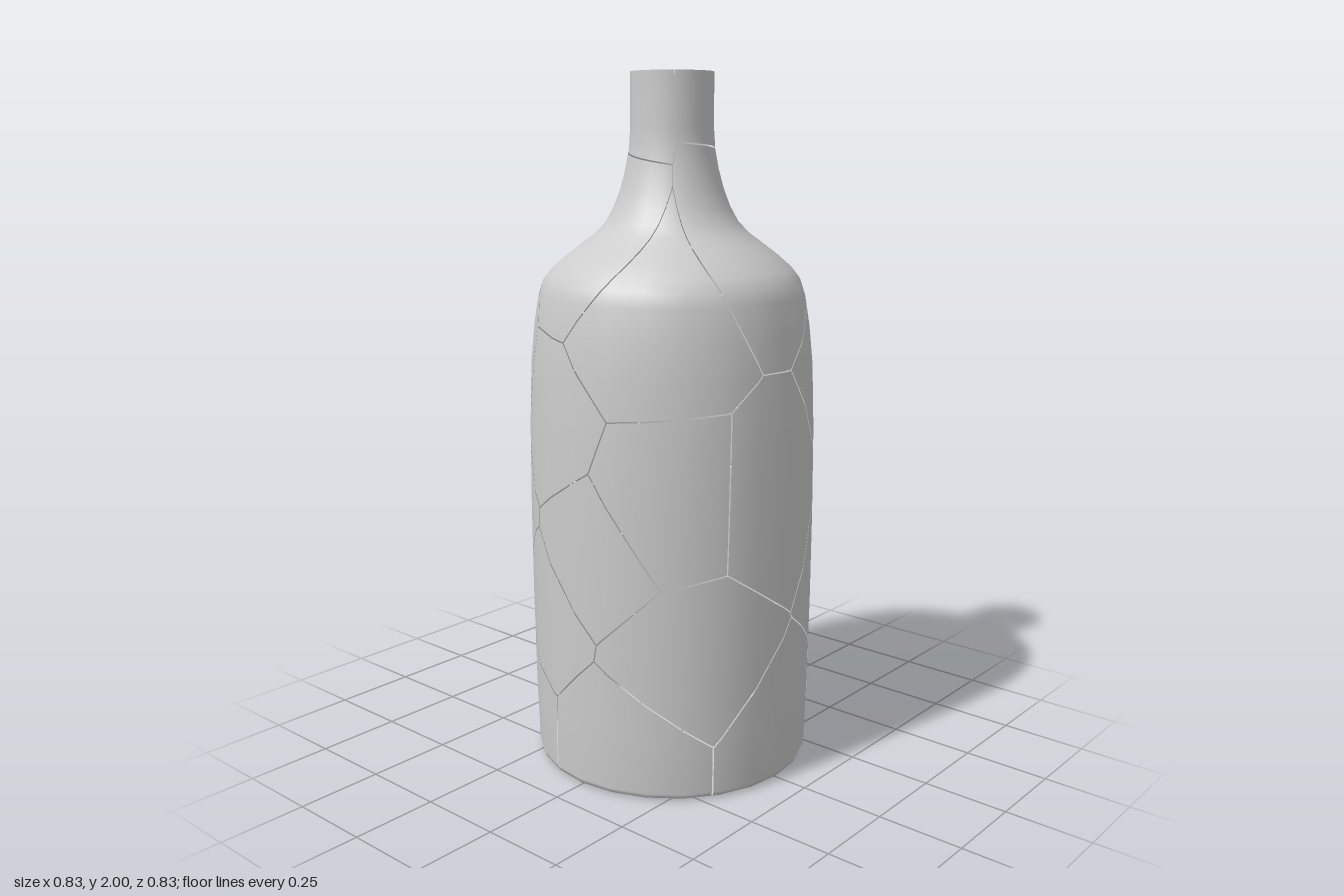
import * as THREE from 'three';

const SIDES = 24, TURN = Math.PI * 2, COL = TURN / SIDES;
const GAP = 0.002;   // half the width of a crack
const R = 0.41;      // body radius, turns angles into widths on the unrolled wall

// Wall profile [radius, height], foot to lip
const PROFILE = [
  [0.385, 0], [0.4, 0.006], [0.406, 0.02], [0.412, 0.2], [0.416, 0.5], [0.417, 0.75], [0.415, 1.0],
  [0.408, 1.19], [0.397, 1.3], [0.383, 1.385], [0.37, 1.425], [0.345, 1.457], [0.305, 1.492], [0.263, 1.524],
  [0.222, 1.554], [0.19, 1.587], [0.166, 1.63], [0.147, 1.68], [0.132, 1.735], [0.122, 1.79], [0.118, 1.85], [0.118, 2],
];

// Shard centres on the wall: [degrees from front towards the left, height]
const WALL = [
  [0, 0.85], [2, 0.13], [0, 1.55], [52, 1.12], [52, 0.62], [58, 0.14],
  [-55, 0.86], [-42, 0.4], [-68, 0.13], [-60, 1.32],
  [88, 1.14], [88, 0.58], [100, 0.12], [98, 1.62], [126, 0.92], [135, 0.4],
  [140, 1.35], [165, 0.95], [168, 0.15], [182, 0.52], [186, 1.58], [205, 1.15],
  [212, 0.78], [220, 0.16], [242, 0.5], [250, 1.02], [262, 1.55], [276, 0.72],
  [2, 2.05], [95, 2], [185, 2.08], [265, 1.98],
];

// Shard centres on the floor: [x, z]
const FLOOR = [[0.1, -0.12], [-0.12, -0.04], [0.05, 0.12], [-0.2, 0.22], [0.27, 0.08], [-0.28, -0.18], [0.02, -0.31], [0.17, 0.3]];

// Keep the part of a convex polygon where a*x + b*y <= c
function clip(poly, a, b, c) {
  const out = [];
  poly.forEach((p, i) => {
    const q = poly[(i + 1) % poly.length];
    const dp = a * p[0] + b * p[1] - c, dq = a * q[0] + b * q[1] - c;
    if (dp <= 0) out.push(p);
    if ((dp < 0 && dq > 0) || (dp > 0 && dq < 0)) {
      const t = dp / (dp - dq);
      out.push([p[0] + (q[0] - p[0]) * t, p[1] + (q[1] - p[1]) * t]);
    }
  });
  return out;
}

// Cut an outline down to the area nearest one centre, less the crack
function cell(outline, seed, others) {
  return others.reduce((poly, o) => {
    const dx = o[0] - seed[0], dy = o[1] - seed[1], d = Math.hypot(dx, dy);
    if (d < 1e-6) return poly;
    const a = dx / d, b = dy / d;
    return clip(poly, a, b, a * (seed[0] + o[0]) / 2 + b * (seed[1] + o[1]) / 2 - GAP);
  }, outline);
}

// Profile slope as an outward normal [radial, up] at each profile point
const NORMALS = PROFILE.map((p, i) => {
  const a = PROFILE[Math.max(i - 1, 0)], b = PROFILE[Math.min(i + 1, PROFILE.length - 1)];
  const d = Math.hypot(b[0] - a[0], b[1] - a[1]);
  return [(b[1] - a[1]) / d, (a[0] - b[0]) / d];
});

// Position and normal on the wall for a point (angle * R, height) in a given column and row
function wallPoint([s, y], col, row, pos, nor) {
  const angle = s / R, a0 = col * COL, f = angle / COL - col;
  const p = PROFILE[row], q = PROFILE[row + 1], t = (y - p[1]) / (q[1] - p[1]);
  const r = THREE.MathUtils.lerp(p[0], q[0], t);
  pos.push(r * THREE.MathUtils.lerp(Math.sin(a0), Math.sin(a0 + COL), f), y,
    r * THREE.MathUtils.lerp(Math.cos(a0), Math.cos(a0 + COL), f));
  const n = new THREE.Vector2(...NORMALS[row]).lerp(new THREE.Vector2(...NORMALS[row + 1]), t).normalize();
  nor.push(n.x * Math.sin(angle), n.y, n.x * Math.cos(angle));
}

function makeMesh(name, pos, nor, material) {
  const geometry = new THREE.BufferGeometry();
  geometry.setAttribute('position', new THREE.Float32BufferAttribute(pos, 3));
  geometry.setAttribute('normal', new THREE.Float32BufferAttribute(nor, 3));
  const mesh = new THREE.Mesh(geometry, material);
  mesh.name = name;
  return mesh;
}

// Curve one flat shard around the wall, following the columns and rows of the profile
function wallShard(poly, name, material) {
  const pos = [], nor = [], w = COL * R;
  const xs = poly.map(p => p[0]);
  for (let col = Math.floor(Math.min(...xs) / w); col * w < Math.max(...xs); col++) {
    const strip = clip(clip(poly, 1, 0, (col + 1) * w), -1, 0, -col * w);
    for (let row = 0; row < PROFILE.length - 1; row++) {
      const piece = clip(clip(strip, 0, 1, PROFILE[row + 1][1]), 0, -1, -PROFILE[row][1]);
      for (let i = 1; i < piece.length - 1; i++) {
        for (const p of [piece[0], piece[i], piece[i + 1]]) wallPoint(p, col, row, pos, nor);
      }
    }
  }
  return makeMesh(name, pos, nor, material);
}

// Flat shard facing down
function floorShard(poly, name, material) {
  const pos = [], nor = [];
  for (let i = 1; i < poly.length - 1; i++) {
    for (const [x, z] of [poly[0], poly[i], poly[i + 1]]) {
      pos.push(x, 0, z);
      nor.push(0, -1, 0);
    }
  }
  return makeMesh(name, pos, nor, material);
}

export function createModel() {
  const material = new THREE.MeshStandardMaterial({ color: 0xcccccc, side: THREE.DoubleSide });
  const bottle = new THREE.Group();
  bottle.name = 'crackedBottle';

  // Wall, shoulder and neck, with centres repeated either side of the seam
  const wall = new THREE.Group();
  wall.name = 'bottleWall';
  const seeds = WALL.map(([deg, y]) => [THREE.MathUtils.degToRad(deg) * R, y]);
  const wrapped = [-1, 0, 1].flatMap(k => seeds.map(([s, y]) => [s + k * TURN * R, y]));
  seeds.forEach((seed, i) => {
    const half = TURN * R / 2;
    const sheet = [[seed[0] - half, 0], [seed[0] + half, 0], [seed[0] + half, 2], [seed[0] - half, 2]];
    const poly = cell(sheet, seed, wrapped);
    if (poly.length > 2) wall.add(wallShard(poly, `wallShard${i + 1}`, material));
  });

  // Floor
  const floor = new THREE.Group();
  floor.name = 'bottleFloor';
  const rim = Array.from({ length: SIDES }, (_, i) => [PROFILE[0][0] * Math.cos(i * COL), PROFILE[0][0] * Math.sin(i * COL)]);
  FLOOR.forEach((seed, i) => {
    floor.add(floorShard(cell(rim, seed, FLOOR), `floorShard${i + 1}`, material));
  });

  bottle.add(wall, floor);
  return bottle;
}
